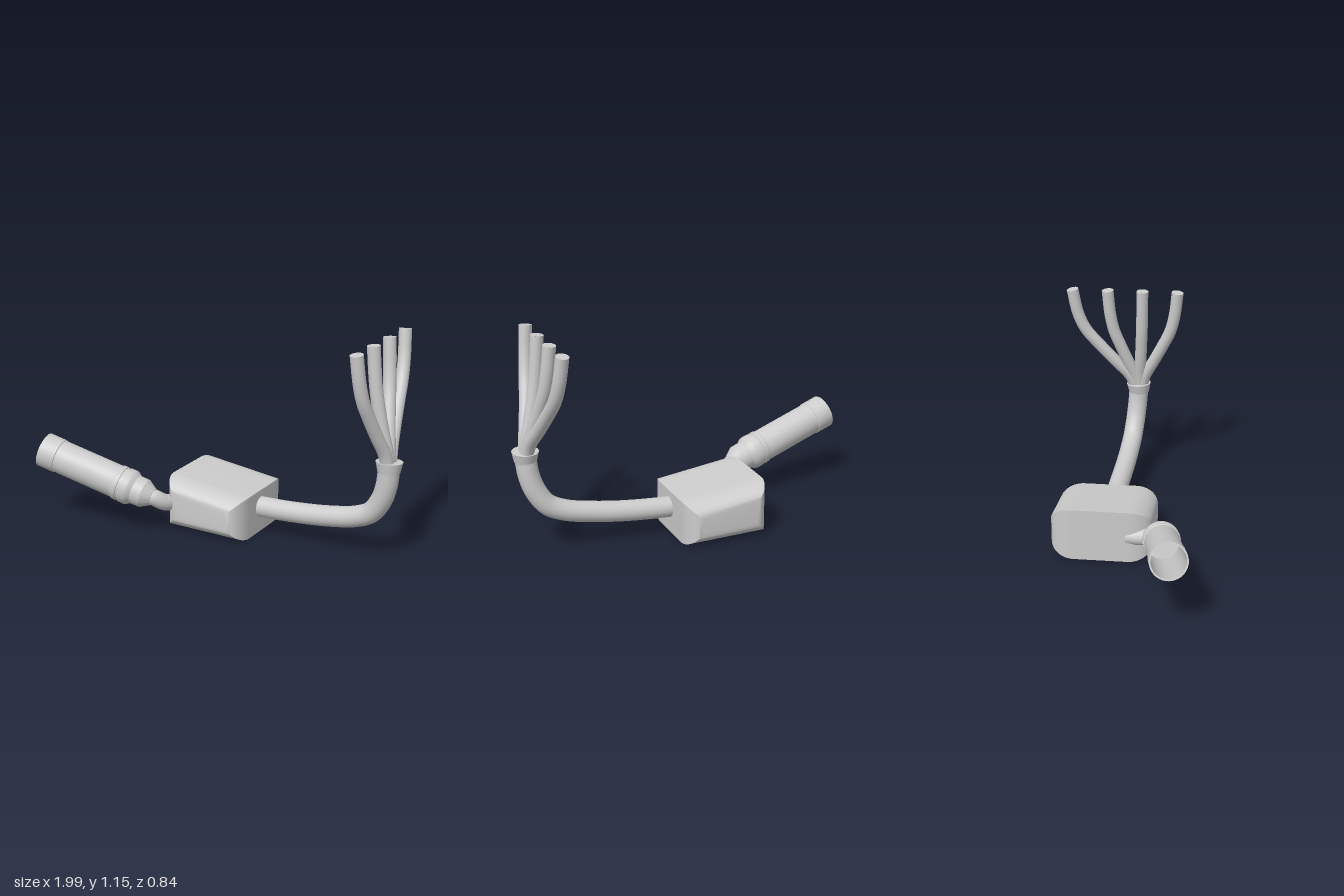
import * as THREE from 'three';
import { toCreasedNormals, mergeGeometries } from 'three/addons/utils/BufferGeometryUtils.js';

const v3 = (p) => new THREE.Vector3(...p);

// Round tube through points, with a flat cap at the far end
function cappedTube(points, radius, segments = 40) {
  const curve = new THREE.CatmullRomCurve3(points.map(v3));
  const tube = new THREE.TubeGeometry(curve, segments, radius, 24);
  const cap = new THREE.CircleGeometry(radius, 24);
  cap.applyQuaternion(new THREE.Quaternion().setFromUnitVectors(new THREE.Vector3(0, 0, 1), curve.getTangent(1)));
  cap.translate(...curve.getPoint(1).toArray());
  return mergeGeometries([tube, cap]);
}

export function createModel() {
  const model = new THREE.Group();
  model.name = 'cableAssembly';
  const grey = new THREE.MeshStandardMaterial({ color: 0xcccccc });
  grey.name = 'light grey';

  const add = (name, geometry) => {
    const mesh = new THREE.Mesh(geometry, grey);
    mesh.name = name;
    model.add(mesh);
    return mesh;
  };

  // Wedge-shaped housing, rounded at its front and back ends
  const side = new THREE.Shape([[-0.3, 0.01], [0.165, 0], [0.165, 0.235], [-0.3, 0.297]]
    .map(([x, y]) => new THREE.Vector2(x, y)));
  const round = 0.125;
  const housing = new THREE.ExtrudeGeometry(side, {
    depth: 0.54 - 2 * round, bevelThickness: round,
    bevelSize: 0.08, bevelOffset: -0.08, bevelSegments: 12,
  });
  housing.translate(0, 0, -0.36 + round);
  add('housing', toCreasedNormals(housing, 0.6));

  // Main cable, bending upward
  add('mainCable', cappedTube([
    [0.13, 0.14, -0.077], [0.28, 0.145, -0.07], [0.45, 0.158, -0.062], [0.6, 0.178, -0.053],
    [0.73, 0.205, -0.046], [0.825, 0.25, -0.038], [0.885, 0.335, -0.028],
    [0.913, 0.42, -0.02], [0.925, 0.51, -0.014],
  ], 0.056, 64));

  // Flared collar
  const collar = add('collar', new THREE.CylinderGeometry(0.07, 0.058, 0.055, 32));
  collar.position.set(0.925, 0.523, -0.013);
  collar.rotation.x = -0.06;

  // Four wires fanning out of the collar: height, x and share of the spread
  const fan = [[0.52, 0.925, 0], [0.6, 0.913, 0.1], [0.7, 0.89, 0.34], [0.8, 0.87, 0.58],
    [0.9, 0.853, 0.8], [1.0, 0.842, 0.92], [1.145, 0.83, 1]];
  [0.215, 0.013, -0.187, -0.39].forEach((tipZ, i) => {
    const baseZ = 0.002 - i * 0.01;
    const path = fan.map(([y, x, t]) => [x, y, baseZ + (tipZ - baseZ) * t]);
    add('wire' + (i + 1), cappedTube(path, 0.034));
  });

  // Bent neck between housing and connector
  add('neck', cappedTube([
    [-0.37, 0.213, 0.232], [-0.325, 0.196, 0.22], [-0.29, 0.165, 0.18],
    [-0.272, 0.15, 0.12], [-0.26, 0.145, 0.05],
  ], 0.045));

  // Connector barrel: stepped outside, hollow at the outer end
  const profile = [
    [0, 0], [0.048, 0], [0.078, 0.05], [0.08, 0.105], [0.094, 0.125], [0.097, 0.135],
    [0.097, 0.17], [0.092, 0.172], [0.092, 0.185], [0.096, 0.187], [0.096, 0.21],
    [0.091, 0.215], [0.091, 0.57], [0.095, 0.573], [0.095, 0.67],
    [0.086, 0.67], [0.086, 0.2], [0, 0.2],
  ].map(([r, y]) => new THREE.Vector2(r, y));
  const connector = add('connector', toCreasedNormals(new THREE.LatheGeometry(profile, 40), 0.4));
  const axis = v3([-0.946, 0.288, 0.148]).normalize();
  connector.quaternion.setFromUnitVectors(new THREE.Vector3(0, 1, 0), axis);
  connector.position.set(-0.334, 0.2, 0.226);

  return model;
}
